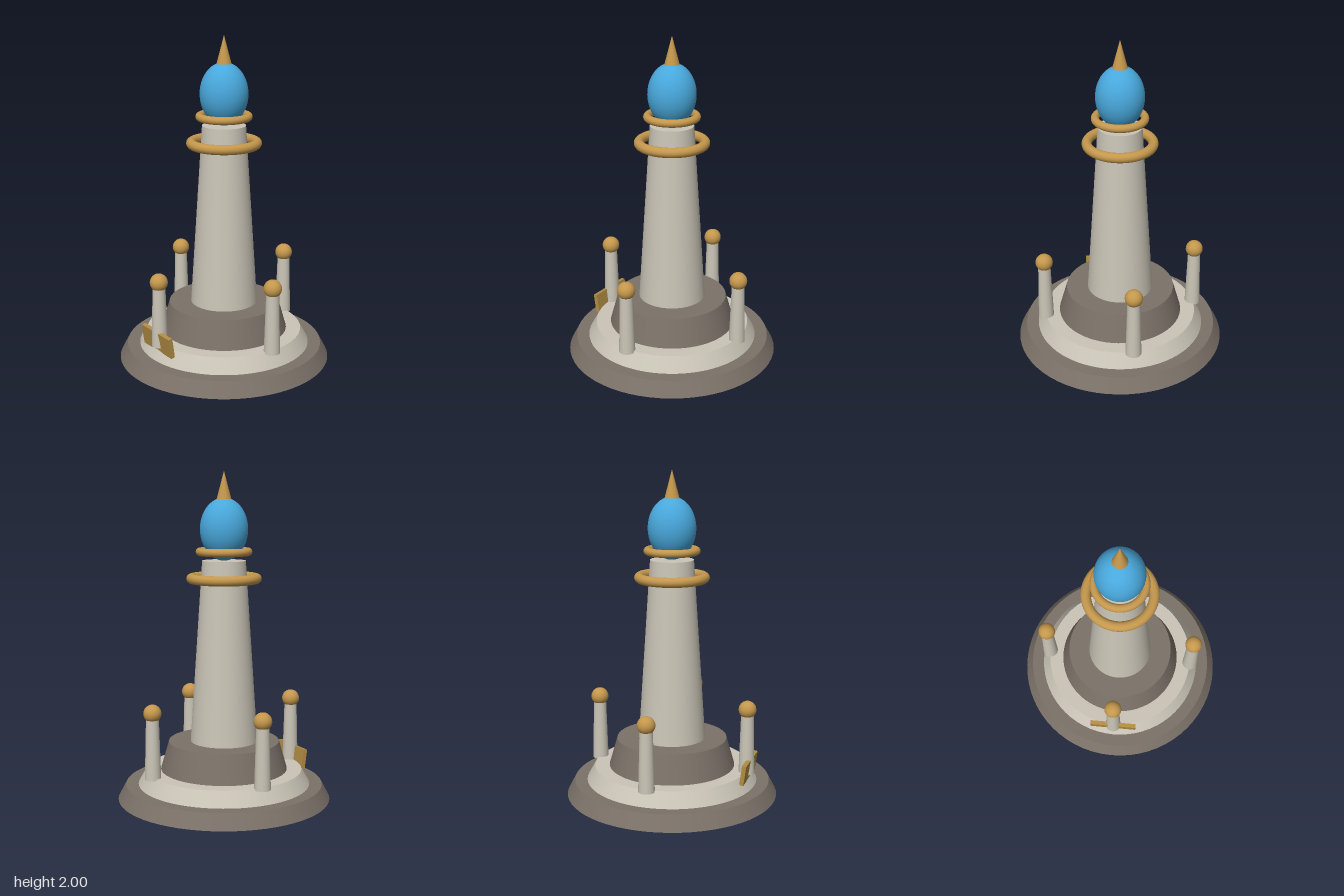
import * as THREE from 'three';

export function createModel() {
  const model = new THREE.Group();
  model.name = 'tower';

  const material = (name, color) => {
    const m = new THREE.MeshStandardMaterial({ color });
    m.name = name;
    return m;
  };
  const paleStone = material('pale stone', 0xcac5b7);
  const darkStone = material('dark stone', 0x7b7168);
  const gold = material('gold', 0xc4974c);
  const bronze = material('bronze', 0xb28c44);
  const blue = material('blue crystal', 0x48a8dc);

  const add = (name, geometry, mat, x = 0, y = 0, z = 0) => {
    const mesh = new THREE.Mesh(geometry, mat);
    mesh.name = name;
    mesh.position.set(x, y, z);
    model.add(mesh);
    return mesh;
  };

  // Tapered round section standing between two heights
  const taper = (name, mat, rBottom, rTop, y0, y1, x = 0, z = 0, sides = 64) =>
    add(name, new THREE.CylinderGeometry(rTop, rBottom, y1 - y0, sides), mat, x, (y0 + y1) / 2, z);

  // Stepped base and shaft
  taper('baseStep', darkStone, 0.655, 0.607, 0, 0.09);
  taper('middleStep', paleStone, 0.53, 0.48, 0.09, 0.18);
  taper('upperStep', darkStone, 0.39, 0.34, 0.18, 0.355);
  taper('shaft', paleStone, 0.206, 0.132, 0.355, 1.465);

  // Floating rings around the top
  const ring = (name, radius, tube, y) =>
    add(name, new THREE.TorusGeometry(radius, tube, 16, 64).rotateX(Math.PI / 2), gold, 0, y, 0);
  ring('lowerRing', 0.198, 0.03, 1.357);
  ring('upperRing', 0.147, 0.024, 1.518);

  // Egg-shaped crystal and its spike
  add('crystal', new THREE.SphereGeometry(1, 48, 32).scale(0.145, 0.188, 0.145), blue, 0, 1.653, 0);
  add('spike', new THREE.ConeGeometry(0.045, 0.17, 32), gold, 0, 1.915, 0);

  // Four posts with ball caps
  for (let i = 0; i < 4; i++) {
    const angle = (i * Math.PI) / 2;
    const x = Math.sin(angle) * 0.48;
    const z = Math.cos(angle) * 0.48;
    taper('post', paleStone, 0.049, 0.038, 0.17, 0.56, x, z, 32);
    add('postBall', new THREE.SphereGeometry(0.054, 32, 20), gold, x, 0.573, z);
  }

  // Plaque behind the front post, top leaning outward
  const plaque = add('plaque', new THREE.BoxGeometry(0.3, 0.125, 0.026), bronze, 0, 0.203, 0.493);
  plaque.rotation.x = 0.14;

  return model;
}
